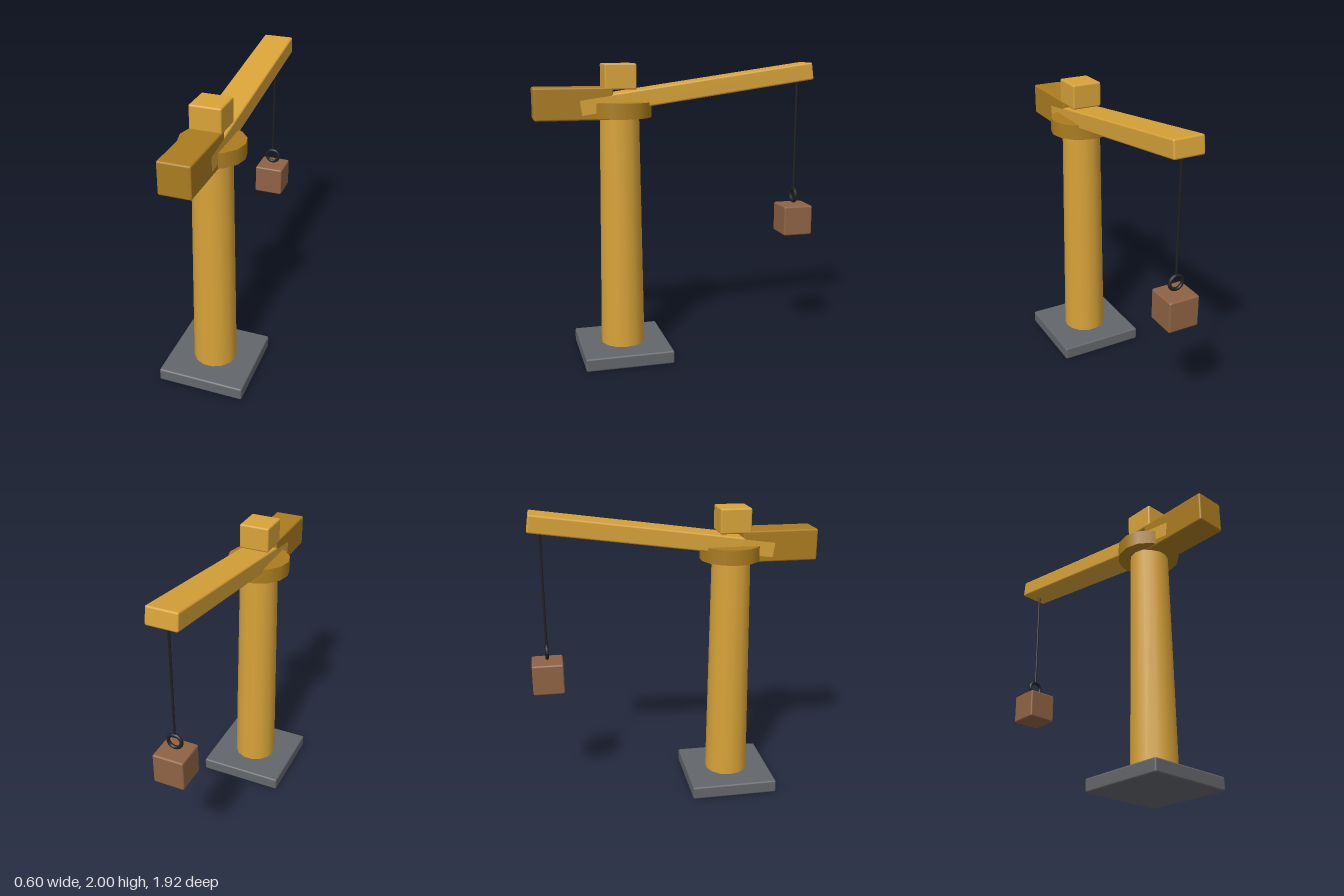
import * as THREE from 'three';
import { RoundedBoxGeometry } from 'three/addons/geometries/RoundedBoxGeometry.js';

const paint = (name, color) => {
  const m = new THREE.MeshStandardMaterial({ color });
  m.name = name;
  return m;
};

export function createModel() {
  const crane = new THREE.Group();
  crane.name = 'towerCrane';

  const yellow = paint('craneYellow', 0xd8a339);
  const ochre = paint('darkOchre', 0xab7c20);
  const grey = paint('baseGrey', 0x63666b);
  const brown = paint('crateBrown', 0x8f6344);
  const black = paint('cableBlack', 0x202022);

  const add = (name, geometry, material, x, y, z) => {
    const mesh = new THREE.Mesh(geometry, material);
    mesh.name = name;
    mesh.position.set(x, y, z);
    crane.add(mesh);
    return mesh;
  };
  const box = (w, h, d) => new RoundedBoxGeometry(w, h, d, 2, 0.012);

  const mastZ = 0.4;
  const loadZ = -0.855;

  // Base plate and tapered mast
  add('basePlate', box(0.6, 0.09, 0.6), grey, 0, 0.045, mastZ);
  const mast = new THREE.CylinderGeometry(0.13, 0.15, 1.57, 14);
  mast.rotateY(Math.PI / 2);
  add('mast', mast, yellow, 0, 0.865, mastZ);

  // Slewing ring on top of the mast
  const ring = new THREE.CylinderGeometry(0.213, 0.213, 0.1, 14);
  ring.rotateY(Math.PI / 2);
  add('slewingRing', ring, ochre, 0, 1.7, 0.393).scale.z = 0.96;

  // Raised boom, counterweight and cab
  const boom = add('boom', box(0.207, 0.117, 1.62), yellow, 0, 1.83, -0.127);
  boom.rotation.x = THREE.MathUtils.degToRad(8);
  add('counterweight', box(0.206, 0.21, 0.51), ochre, 0, 1.745, 0.71);
  add('cab', box(0.206, 0.167, 0.21), yellow, 0, 1.9165, 0.405);

  // Hoist cable, hook ring and load
  add('cable', new THREE.CylinderGeometry(0.008, 0.008, 0.8, 8), black, 0, 1.51, loadZ);
  add('hookRing', new THREE.TorusGeometry(0.046, 0.012, 8, 20), black, 0, 1.066, loadZ);
  add('load', box(0.21, 0.21, 0.21), brown, 0, 0.895, loadZ);

  return crane;
}
